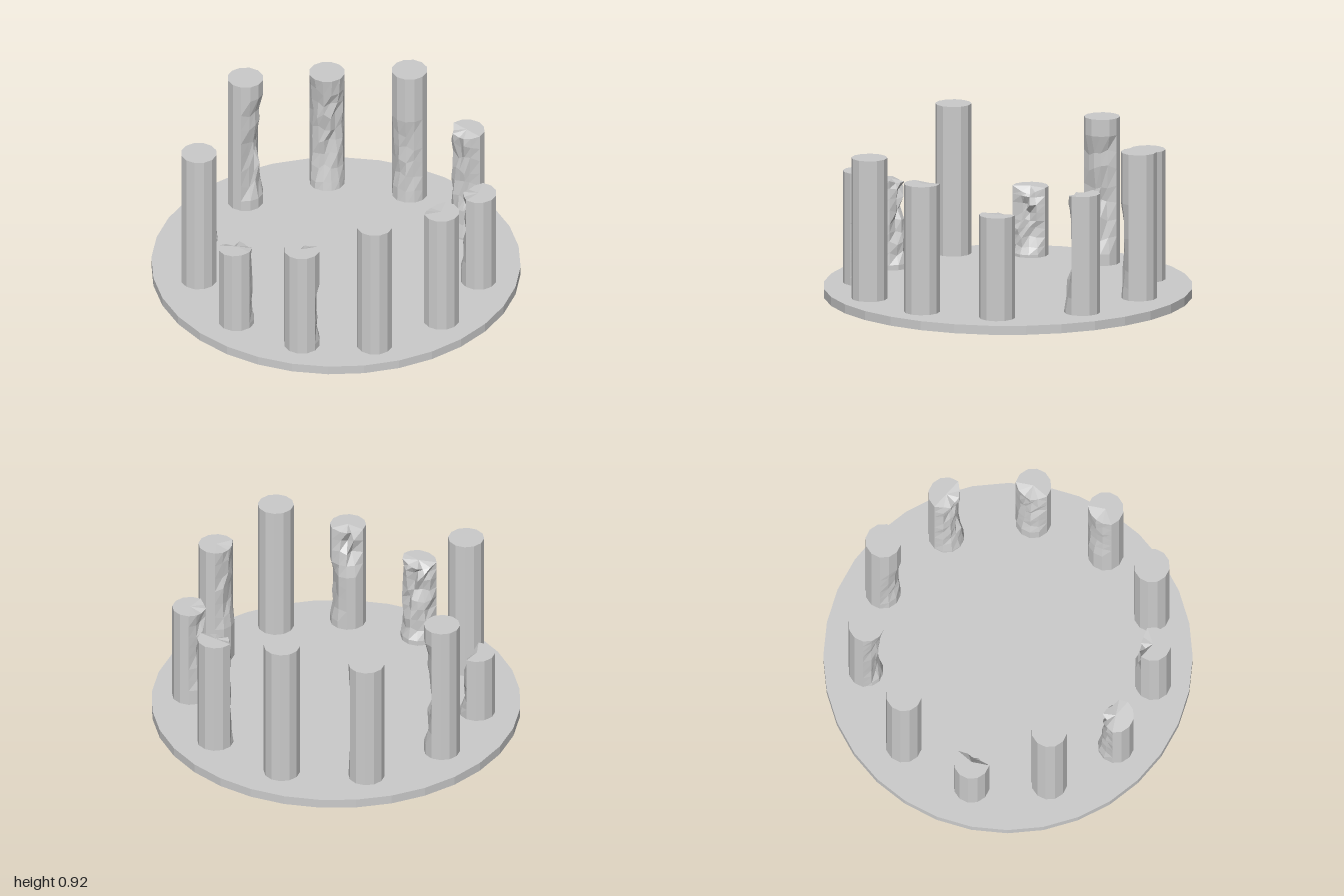
import * as THREE from 'three';

const SIDES = 12, ROWS = 9, R = 0.098;
const stone = new THREE.MeshStandardMaterial({ color: 0xcccccc, flatShading: true });

// repeatable value in 0..1 for a column, row and pillar
function hash(a, b, c) {
  const s = Math.sin(a * 127.1 + b * 311.7 + c * 74.7) * 43758.5453;
  return s - Math.floor(s);
}

// chips: [angle in degrees (0 = +z, 90 = +x), half width, low y, high y, depth]
const pillars = [
  { x: -0.23, z: -0.735, top: 0.79, chips: [[10, 85, 0.1, 0.72, 0.045]] },
  { x: 0.23, z: -0.735, top: 0.88, chips: [[-15, 65, 0.12, 0.58, 0.025]] },
  { x: 0.615, z: -0.465, top: 0.73, base: 0, chips: [[-20, 80, 0.12, 0.95, 0.05]] },
  { x: 0.79, z: -0.02, top: 0.64, base: 0.02, chips: [[-100, 70, 0.2, 0.78, 0.035]] },
  { x: 0.685, z: 0.4, top: 0.78, chips: [[-120, 45, 0.3, 0.9, 0.025]] },
  { x: 0.39, z: 0.715, top: 0.85, chips: [] },
  { x: 0.005, z: 0.8, top: 0.69, chips: [[185, 45, 0.45, 0.85, 0.06], [110, 50, 0.12, 0.45, 0.022]] },
  { x: -0.39, z: 0.675, top: 0.57, chips: [[170, 85, 0.1, 0.72, 0.05]], tilt: 0.1 },
  { x: -0.675, z: 0.365, top: 0.92, base: 0.09, chips: [] },
  { x: -0.77, z: -0.045, top: 0.45, chips: [[75, 65, 0.12, 0.6, 0.06]] },
  { x: -0.615, z: -0.45, top: 0.88, chips: [[80, 70, 0.15, 0.75, 0.045]] },
];

function pillarGeometry({ top, base = 0.04, chips, tilt = 0 }, seed) {
  const h = top - base;
  const geo = new THREE.CylinderGeometry(R, R, h, SIDES, chips.length ? ROWS : 1);
  geo.translate(0, base + h / 2, 0);
  const pos = geo.attributes.position;
  for (let i = 0; i < pos.count; i++) {
    const x = pos.getX(i), y = pos.getY(i), z = pos.getZ(i);
    const isTop = y > top - 1e-4;
    let inset = 0, dy = isTop ? tilt * (x - R) : 0;
    if (Math.hypot(x, z) > R / 2) {
      const angle = Math.atan2(x, z);
      const col = (Math.round(angle / (Math.PI * 2) * SIDES) + SIDES) % SIDES;
      const row = Math.round((y - base) / h * ROWS);
      for (const [deg, half, lo, hi, depth] of chips) {
        const turn = angle - deg * Math.PI / 180;
        const off = Math.abs(Math.atan2(Math.sin(turn), Math.cos(turn))) * 180 / Math.PI / half;
        const t = (y - lo) / (hi - lo);
        if (off >= 1 || t <= 0 || t >= 1) continue;
        const fade = Math.sqrt(Math.cos(off * Math.PI / 2) * Math.sin(t * Math.PI));
        inset += depth * fade * (0.45 + 0.9 * hash(col, row, seed));
        if (!isTop) dy = (hash(row, col, seed + 5) - 0.5) * 0.5 * h / ROWS;
      }
      // the broken rim sinks where the top is chipped away
      if (isTop) dy -= inset * 0.6;
    }
    const k = 1 - inset / R;
    pos.setXYZ(i, x * k, y + dy, z * k);
  }
  const flat = geo.toNonIndexed();
  flat.computeVertexNormals();
  return flat;
}

export function createModel() {
  const group = new THREE.Group();
  group.name = 'stoneCircle';

  // round base slab
  const slab = new THREE.Mesh(new THREE.CylinderGeometry(1, 1, 0.05, 32), stone);
  slab.position.y = 0.045;
  slab.name = 'baseSlab';
  group.add(slab);

  // ring of standing pillars, worn on their inner sides
  pillars.forEach((p, i) => {
    const mesh = new THREE.Mesh(pillarGeometry(p, i + 1), stone);
    mesh.position.set(p.x, 0, p.z);
    mesh.name = p.chips.length ? 'wornPillar' : 'pillar';
    group.add(mesh);
  });
  return group;
}
